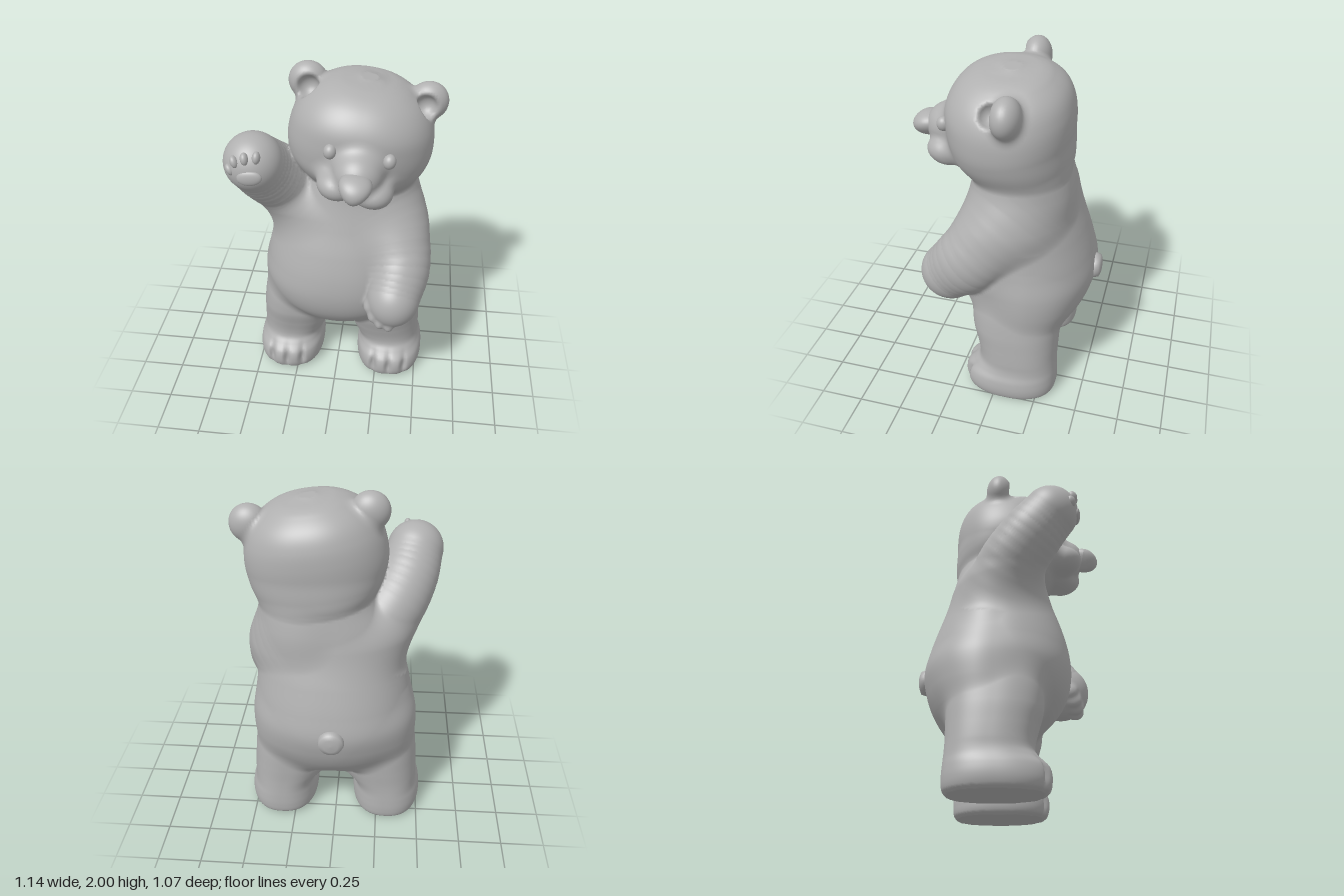
import * as THREE from 'three';
import { mergeVertices } from 'three/addons/utils/BufferGeometryUtils.js';

const fur = new THREE.MeshStandardMaterial({ color: 0xb0b0b0 });
fur.name = 'plain grey';

const { smoothstep, lerp, clamp } = THREE.MathUtils;
const bump = (d, width) => Math.exp(-((d / width) ** 2));

// Each soft part is a function of x, y, z that is negative inside and positive outside.
// blend joins two of them with a fillet of width k.
const blend = (a, b, k) => Math.min(a, b) - Math.max(k - Math.abs(a - b), 0) ** 2 / (4 * k);

const ellipsoid = (cx, cy, cz, rx, ry, rz) => (x, y, z) =>
  (Math.hypot((x - cx) / rx, (y - cy) / ry, (z - cz) / rz) - 1) * Math.min(rx, ry, rz);

// Stack of rounded sections, each row [y, xMin, xMax, zMin, zMax]
function loft(rows, power) {
  const low = rows[0][0], high = rows[rows.length - 1][0], fine = 0.004;
  const slope = (i, c) => {
    const a = rows[Math.max(i - 1, 0)], b = rows[Math.min(i + 1, rows.length - 1)];
    return (b[c] - a[c]) / (b[0] - a[0]);
  };
  const table = [];
  for (let y = low, i = 0; y <= high + fine; y += fine) {
    while (i < rows.length - 2 && y > rows[i + 1][0]) i++;
    const h = rows[i + 1][0] - rows[i][0], u = Math.min((y - rows[i][0]) / h, 1);
    const [x0, x1, z0, z1] = [1, 2, 3, 4].map((c) => rows[i][c] + (rows[i + 1][c] - rows[i][c]) * u * u * (3 - 2 * u)
      + h * u * (1 - u) * (slope(i, c) * (1 - u) - slope(i + 1, c) * u));
    table.push([(x0 + x1) / 2, (x1 - x0) / 2, (z0 + z1) / 2, (z1 - z0) / 2]);
  }
  return (x, y, z) => {
    const t = clamp((y - low) / fine, 0, table.length - 1.001), i = Math.floor(t), u = t - i;
    const a = table[i], b = table[i + 1];
    const hx = lerp(a[1], b[1], u), hz = lerp(a[3], b[3], u);
    const qx = Math.abs(x - lerp(a[0], b[0], u)) / hx, qz = Math.abs(z - lerp(a[2], b[2], u)) / hz;
    return Math.max(((qx ** power + qz ** power) ** (1 / power) - 1) * Math.min(hx, hz), low - y, y - high);
  };
}

// Round limb along a path, each row [x, y, z, radius]; flat narrows it in x
function limb(rows, flat) {
  const path = new THREE.CatmullRomCurve3(rows.map((r) => new THREE.Vector3(r[0] / flat, r[1], r[2])));
  const radii = new THREE.SplineCurve(rows.map((r) => new THREE.Vector2(r[3], 0)));
  const n = 14;
  const p = path.getPoints(n), r = radii.getPoints(n).map((v) => v.x);
  return (x, y, z) => {
    let d = Infinity;
    for (let i = 0; i < n; i++) {
      const a = p[i], b = p[i + 1];
      const ex = b.x - a.x, ey = b.y - a.y, ez = b.z - a.z;
      const px = x / flat - a.x, py = y - a.y, pz = z - a.z;
      const t = clamp((px * ex + py * ey + pz * ez) / (ex * ex + ey * ey + ez * ez), 0, 1);
      const dx = px - ex * t, dy = py - ey * t, dz = pz - ez * t;
      d = Math.min(d, Math.sqrt(dx * dx + dy * dy + dz * dz) - lerp(r[i], r[i + 1], t));
    }
    return d;
  };
}

// Head: skull, muzzle and cupped ears, tilted to its left
const headCentre = [0.12, 1.66, 0], headTilt = -0.13;
const skull = loft([
  [-0.295, -0.05, 0.05, -0.15, 0], [-0.28, -0.18, 0.18, -0.26, 0.15], [-0.24, -0.28, 0.28, -0.32, 0.235],
  [-0.17, -0.352, 0.352, -0.34, 0.285], [-0.08, -0.385, 0.385, -0.348, 0.305], [0.02, -0.384, 0.384, -0.352, 0.315],
  [0.11, -0.36, 0.36, -0.342, 0.31], [0.19, -0.31, 0.31, -0.31, 0.27], [0.25, -0.235, 0.235, -0.25, 0.205],
  [0.285, -0.15, 0.15, -0.18, 0.12], [0.3, -0.04, 0.04, -0.07, 0.01]], 2.2);
const muzzle = [ellipsoid(0.02, -0.07, 0.31, 0.13, 0.125, 0.135), ellipsoid(-0.075, -0.148, 0.31, 0.105, 0.08, 0.11),
  ellipsoid(0.118, -0.158, 0.31, 0.098, 0.08, 0.11), ellipsoid(0.085, -0.2, 0.285, 0.1, 0.045, 0.085)];
const earShell = ellipsoid(0.318, 0.2, -0.08, 0.104, 0.104, 0.078);
const earCup = ellipsoid(0.305, 0.195, 0, 0.06, 0.06, 0.06);

function head(wx, wy, wz) {
  const c = Math.cos(headTilt), s = Math.sin(headTilt);
  const dx = wx - headCentre[0], dy = wy - headCentre[1];
  const x = dx * c + dy * s, y = dy * c - dx * s;
  const snout = muzzle.map((m) => m(x, y, wz)).reduce((a, b) => blend(a, b, 0.025));
  const face = blend(skull(x, y, wz), snout, 0.06);
  const ax = Math.abs(x);
  return -blend(-blend(face, earShell(ax, y, wz), 0.04), earCup(ax, y, wz), 0.025);
}

const torso = loft([
  [0.32, -0.05, 0.07, -0.22, 0], [0.36, -0.13, 0.15, -0.32, 0.08], [0.42, -0.22, 0.25, -0.385, 0.155],
  [0.5, -0.33, 0.36, -0.44, 0.235], [0.6, -0.41, 0.44, -0.48, 0.3], [0.72, -0.445, 0.475, -0.5, 0.33],
  [0.85, -0.425, 0.47, -0.475, 0.325], [1, -0.39, 0.452, -0.43, 0.29], [1.15, -0.35, 0.435, -0.38, 0.24],
  [1.3, -0.29, 0.425, -0.355, 0.2], [1.42, -0.22, 0.425, -0.335, 0.185], [1.54, -0.19, 0.4, -0.31, 0.17],
  [1.65, -0.1, 0.3, -0.25, 0.1]], 2.2);

// Both legs, mirrored about the middle, with grooves between the toes
const leg = loft([
  [0, 0.145, 0.495, -0.325, 0.165], [0.02, 0.122, 0.515, -0.342, 0.19], [0.07, 0.113, 0.526, -0.348, 0.203],
  [0.13, 0.115, 0.52, -0.346, 0.192], [0.175, 0.122, 0.504, -0.343, 0.15], [0.21, 0.115, 0.498, -0.341, 0.122],
  [0.26, 0.09, 0.497, -0.34, 0.12], [0.34, 0.06, 0.493, -0.342, 0.138], [0.45, 0.04, 0.485, -0.342, 0.165],
  [0.6, 0.06, 0.46, -0.33, 0.16], [0.75, 0.1, 0.41, -0.28, 0.1], [0.9, 0.2, 0.34, -0.15, 0]], 2.4);
function legs(x, y, z) {
  const ax = Math.abs(x - 0.01);
  const groove = bump(ax - 0.42, 0.018) + bump(ax - 0.325, 0.018) + bump(ax - 0.23, 0.018);
  return leg(ax, y, z) + 0.02 * groove * smoothstep(z, 0.05, 0.13) * bump(y - 0.09, 0.06);
}

const raisedArm = limb([[-0.05, 1.1, -0.1, 0.18], [-0.26, 1.28, -0.03, 0.19],
  [-0.372, 1.44, 0.1, 0.176], [-0.42, 1.568, 0.218, 0.158]], 1);

const arm = limb([[0.19, 1.24, -0.12, 0.19], [0.31, 1.08, -0.01, 0.21],
  [0.362, 0.9, 0.15, 0.2], [0.343, 0.768, 0.285, 0.17]], 0.9);
const fingers = [[0.212, 0.735, 0.33], [0.238, 0.688, 0.355], [0.278, 0.655, 0.37], [0.328, 0.638, 0.37]]
  .map(([x, y, z]) => ellipsoid(x, y, z, 0.033, 0.045, 0.05));
const loweredArm = (x, y, z) => fingers.reduce((d, finger) => blend(d, finger(x, y, z), 0.018), arm(x, y, z));

const parts = { head, torso, legs, raisedArm, loweredArm };

// All soft parts together: wide fillets at the hips and shoulders, tight creases elsewhere
function body(x, y, z) {
  let d = blend(torso(x, y, z), head(x, y, z), 0.08);
  d = blend(d, legs(x, y, z), 0.05 + 0.09 * smoothstep(-z, -0.05, 0.2));
  d = blend(d, raisedArm(x, y, z), 0.15 - 0.13 * smoothstep(y, 1.2, 1.42));
  return blend(d, loweredArm(x, y, z), 0.02 + 0.12 * smoothstep(y, 0.85, 1.15));
}

function gradient([x, y, z], e = 0.003) {
  return new THREE.Vector3(body(x + e, y, z) - body(x - e, y, z), body(x, y + e, z) - body(x, y - e, z),
    body(x, y, z + e) - body(x, y, z - e)).divideScalar(2 * e);
}

// Wraps a grid skin round the body and shares its faces out to the named parts
function buildBody(group) {
  const step = 0.0135, origin = [-0.65, -0.033, -0.57], size = [96, 155, 81];
  const stride = [1, size[0], size[0] * size[1]];
  const values = new Float32Array(size[0] * size[1] * size[2]);
  const eachCell = (start, visit) => {
    for (let k = start; k < size[2] - 1; k++) for (let j = start; j < size[1] - 1; j++)
      for (let i = start; i < size[0] - 1; i++) visit(i + j * stride[1] + k * stride[2], [i, j, k]);
  };
  eachCell(0, (id, c) => { values[id] = body(...c.map((v, a) => origin[a] + v * step)); });
  const position = [], normal = [], vertexOf = new Int32Array(values.length);
  const corner = (id, q) => values[id + (q & 1) + (q >> 1 & 1) * stride[1] + (q >> 2) * stride[2]];
  // One point in each cell the surface crosses
  eachCell(0, (id, c) => {
    if (c.some((v, a) => v > size[a] - 3)) return;
    const sum = [0, 0, 0];
    let count = 0;
    for (let q = 0; q < 8; q++) for (let a = 0; a < 3; a++) {
      if (q >> a & 1) continue;
      const v0 = corner(id, q), v1 = corner(id, q | 1 << a);
      if (v0 < 0 === v1 < 0) continue;
      count++;
      for (let b = 0; b < 3; b++) sum[b] += a === b ? v0 / (v0 - v1) : q >> b & 1;
    }
    if (!count) return;
    let p = c.map((v, a) => origin[a] + (v + sum[a] / count) * step);
    const g = gradient(p);
    const shift = clamp(body(...p) / g.lengthSq(), -step / 2, step / 2);
    p = p.map((v, a) => v - shift * g.getComponent(a));
    vertexOf[id] = position.length / 3;
    position.push(...p);
    normal.push(...gradient(p).normalize().toArray());
  });
  const faces = Object.fromEntries(Object.keys(parts).map((name) => [name, []]));
  eachCell(1, (id) => {
    for (let a = 0; a < 3; a++) {
      const inside = values[id] < 0;
      if (inside === values[id + stride[a]] < 0) continue;
      const b = stride[(a + 1) % 3], c = stride[(a + 2) % 3];
      const [p, q, r, s] = [id, id - b, id - b - c, id - c].map((cell) => vertexOf[cell]);
      const at = position.slice(p * 3, p * 3 + 3);
      const owner = Object.keys(parts).reduce((m, n) => (parts[n](...at) < parts[m](...at) ? n : m));
      faces[owner].push(...(inside ? [p, q, r, p, r, s] : [p, r, q, p, s, r]));
    }
  });
  for (const [name, index] of Object.entries(faces)) {
    const geometry = new THREE.BufferGeometry();
    geometry.setAttribute('position', new THREE.Float32BufferAttribute(position, 3));
    geometry.setAttribute('normal', new THREE.Float32BufferAttribute(normal, 3));
    geometry.setIndex(index);
    add(group, name, mergeVertices(geometry.toNonIndexed(), 1e-5));
  }
}

function add(parent, name, geometry, position = [0, 0, 0], rotation = [0, 0, 0], scale = [1, 1, 1]) {
  const mesh = new THREE.Mesh(geometry, fur);
  mesh.name = name;
  mesh.position.set(...position);
  mesh.rotation.set(...rotation);
  mesh.scale.set(...scale);
  parent.add(mesh);
}
const ball = new THREE.SphereGeometry(1, 28, 20);

export function createModel() {
  const bear = new THREE.Group();
  bear.name = 'bear';
  buildBody(bear);

  // Eyes, and a nose that is wider at the top
  const face = new THREE.Group();
  face.name = 'face';
  face.position.set(...headCentre);
  face.rotation.z = headTilt;
  bear.add(face);
  for (const s of [-1, 1]) add(face, 'eye', ball, [0.015 + s * 0.149, 0.022, 0.3], [0, 0, 0], [0.034, 0.04, 0.036]);
  const nose = new THREE.SphereGeometry(1, 32, 24);
  const p = nose.attributes.position;
  for (let i = 0; i < p.count; i++) p.setX(i, p.getX(i) * (1 + 0.4 * p.getY(i)));
  nose.scale(0.078, 0.072, 0.095);
  nose.computeVertexNormals();
  add(face, 'nose', nose, [0.019, -0.08, 0.437], [0.2, 0, 0]);

  // Paw pads
  add(bear, 'palmPad', ball, [-0.412, 1.555, 0.367], [-0.05, 0, 0.1], [0.066, 0.042, 0.02]);
  [[-0.517, 1.58, 0.332, 0.5], [-0.489, 1.632, 0.343, 0.35], [-0.434, 1.654, 0.348, 0.15], [-0.374, 1.662, 0.342, -0.05]]
    .forEach(([x, y, z, tilt]) => add(bear, 'toePad', ball, [x, y, z], [-0.3, 0, tilt], [0.021, 0.033, 0.026]));

  // Tail
  const tail = [[0.07, -0.04], [0.074, 0], [0.066, 0.024], [0.04, 0.034], [0, 0.036]];
  add(bear, 'tail', new THREE.LatheGeometry(tail.map((v) => new THREE.Vector2(...v)), 36),
    [0.01, 0.715, -0.498], [-Math.PI / 2, 0, 0]);
  return bear;
}
